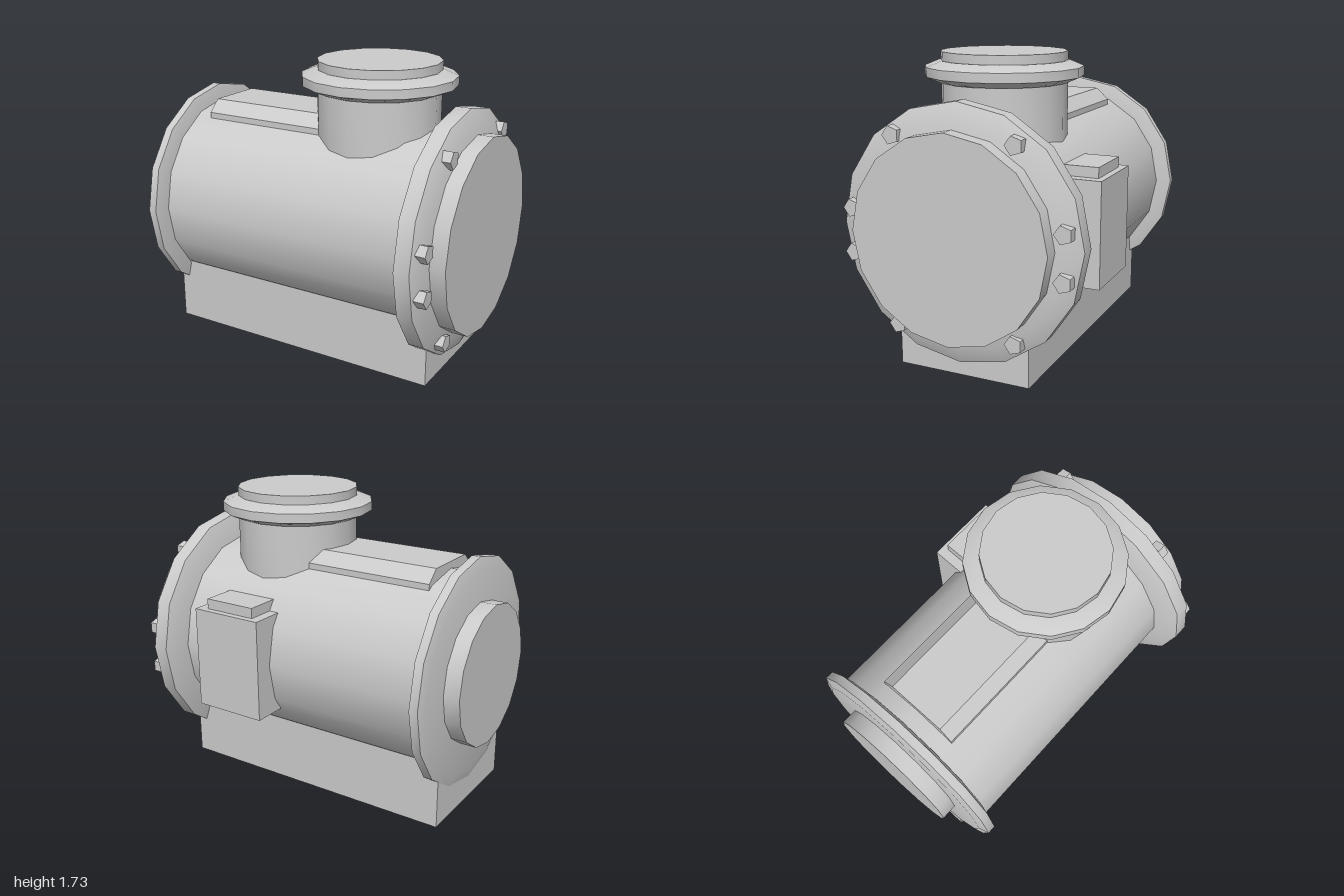
import * as THREE from 'three';
import { toCreasedNormals } from 'three/addons/utils/BufferGeometryUtils.js';

const SIDES = 16;
const AXIS_Y = 0.8;   // height of the main horizontal axis
const PORT_X = 0.305; // centre of the top port

export function createModel() {
  const model = new THREE.Group();
  const material = new THREE.MeshStandardMaterial({ color: 0xcccccc });

  const add = (name, geometry, x = 0, y = 0, z = 0) => {
    const mesh = new THREE.Mesh(geometry, material);
    mesh.name = name;
    mesh.position.set(x, y, z);
    model.add(mesh);
    return mesh;
  };

  // Turned part from [radius, position along axis] pairs
  const turned = (profile) => toCreasedNormals(
    new THREE.LatheGeometry(profile.map(([r, h]) => new THREE.Vector2(r, h)), SIDES), 0.45);

  // Turned part lying along x on the main axis
  const addAlongX = (name, profile) => add(name, turned(profile).rotateZ(-Math.PI / 2), 0, AXIS_Y);

  // Box given by its min and max corners
  const addBox = (name, [x0, y0, z0], [x1, y1, z1]) => add(name,
    new THREE.BoxGeometry(x1 - x0, y1 - y0, z1 - z0), (x0 + x1) / 2, (y0 + y1) / 2, (z0 + z1) / 2);

  // Main drum and its ends
  addAlongX('drum', [[0, -0.86], [0.57, -0.86], [0.57, 1], [0, 1]]);
  addAlongX('smallEndCap', [[0, -1], [0.41, -1], [0.41, -0.88], [0, -0.88]]);
  addAlongX('smallEndFlange', [[0, -0.907], [0.6, -0.907], [0.66, -0.89], [0.66, -0.84], [0.59, -0.82], [0, -0.82]]);
  addAlongX('boltedFlange', [[0, 0.73], [0.59, 0.73], [0.71, 0.775], [0.71, 0.865], [0.61, 0.91], [0, 0.91]]);

  // Five-sided bolts, mirrored front to back
  const bolt = new THREE.CylinderGeometry(0.052, 0.052, 0.06, 5).toNonIndexed();
  bolt.computeVertexNormals();
  bolt.rotateZ(-Math.PI / 2);
  for (const [y, z] of [[1.32, 0.355], [0.9, 0.62], [0.65, 0.618], [0.275, 0.348]]) {
    for (const side of [1, -1]) add('bolt', bolt, 0.902, y, side * z);
  }

  // Top port with bevelled flange and raised lid
  add('portNeck', turned([[0, 1.1], [0.355, 1.1], [0.355, 1.6], [0, 1.6]]), PORT_X);
  add('portFlange', turned([[0, 1.555], [0.365, 1.555], [0.445, 1.59], [0.445, 1.642], [0.365, 1.675], [0, 1.675]]), PORT_X);
  add('portLid', turned([[0, 1.62], [0.355, 1.62], [0.355, 1.725], [0, 1.725]]), PORT_X);

  // Bevelled plate running along the top of the drum into the port
  const section = new THREE.Shape([
    [-0.25, 1.2], [0.25, 1.2], [0.25, 1.34], [0.175, 1.41], [-0.175, 1.41], [-0.25, 1.34],
  ].map(([z, y]) => new THREE.Vector2(z, y)));
  const plate = new THREE.ExtrudeGeometry(section, { depth: 0.87, bevelEnabled: false });
  add('topPlate', plate.rotateY(Math.PI / 2), -0.72);

  // Base block and the box on the back
  addBox('base', [-0.89, 0, -0.393], [0.833, 0.39, 0.393]);
  addBox('backBox', [0.11, 0.5, -0.675], [0.55, 1.093, -0.3]);
  addBox('backBoxLid', [0.17, 1.05, -0.637], [0.49, 1.152, -0.3]);

  return model;
}
